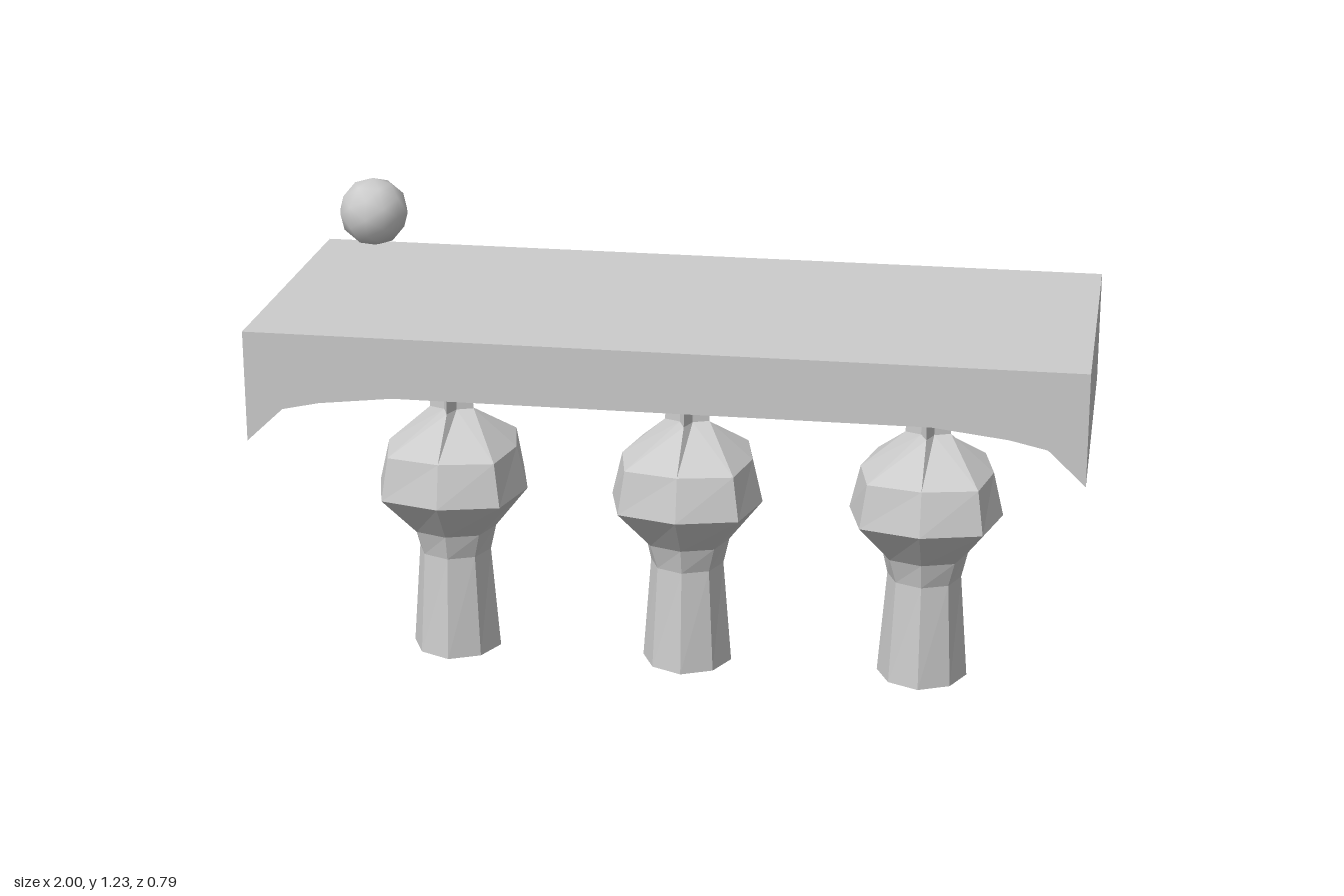
import * as THREE from 'three';

// Rings of a column: [height, radius on the axes, x and z of the diagonal corners]
const RINGS = [
  [0, 0.113, 0.077],
  [0.265, 0.092, 0.065],
  [0.33, 0.107, 0.08],
  [0.435, 0.19, 0.15],
  [0.545, 0.164, 0.135],
  [0.64, 0.056, 0.016],
  [0.8, 0.045, 0.014],
];

// Eight-sided loft through the rings, closed at both ends
function columnGeometry() {
  const points = [];
  const index = [];
  for (const [y, axis, diagonal] of RINGS) {
    for (let i = 0; i < 8; i++) {
      const a = (i * Math.PI) / 4;
      const r = i % 2 ? diagonal * Math.SQRT2 : axis;
      points.push(r * Math.cos(a), y, r * Math.sin(a));
    }
  }
  const last = RINGS.length - 1;
  for (let k = 0; k < last; k++) {
    for (let i = 0; i < 8; i++) {
      const a = k * 8 + i;
      const b = k * 8 + ((i + 1) % 8);
      index.push(a, a + 8, b, b, a + 8, b + 8);
    }
  }
  // End caps as fans around a centre point
  const bottom = points.length / 3;
  points.push(0, 0, 0, 0, RINGS[last][0], 0);
  for (let i = 0; i < 8; i++) {
    const j = (i + 1) % 8;
    index.push(bottom, i, j, bottom + 1, last * 8 + j, last * 8 + i);
  }
  const geometry = new THREE.BufferGeometry();
  geometry.setAttribute('position', new THREE.Float32BufferAttribute(points, 3));
  geometry.setIndex(index);
  const flat = geometry.toNonIndexed();
  flat.computeVertexNormals();
  return flat;
}

// Deck with an arched underside, extruded along z
function deckGeometry() {
  const half = [[1, 0.67], [0.91, 0.755], [0.82, 0.775], [0.64, 0.796]];
  const outline = [
    [-1, 0.945],
    ...half.map(([x, y]) => [-x, y]),
    ...half.slice().reverse(),
    [1, 0.945],
  ].map(([x, y]) => new THREE.Vector2(x, y));
  const depth = 0.79;
  return new THREE.ExtrudeGeometry(new THREE.Shape(outline), { depth, bevelEnabled: false })
    .translate(0, 0, -depth / 2);
}

export function createModel() {
  const group = new THREE.Group();
  const material = new THREE.MeshStandardMaterial({ color: 0xcccccc });
  const faceted = new THREE.MeshStandardMaterial({ color: 0xcccccc, flatShading: true });

  const add = (name, geometry, mat, x = 0, y = 0) => {
    const mesh = new THREE.Mesh(geometry, mat);
    mesh.name = name;
    mesh.position.set(x, y, 0);
    group.add(mesh);
  };

  add('deck', deckGeometry(), faceted);

  // Three bulbous columns in a row
  const column = columnGeometry();
  ['rightColumn', 'middleColumn', 'leftColumn'].forEach((name, i) => {
    add(name, column, faceted, -0.59 + i * 0.597);
  });

  // Ball floating above the deck
  add('ball', new THREE.IcosahedronGeometry(0.085, 1), material, -0.773, 1.14);

  return group;
}
